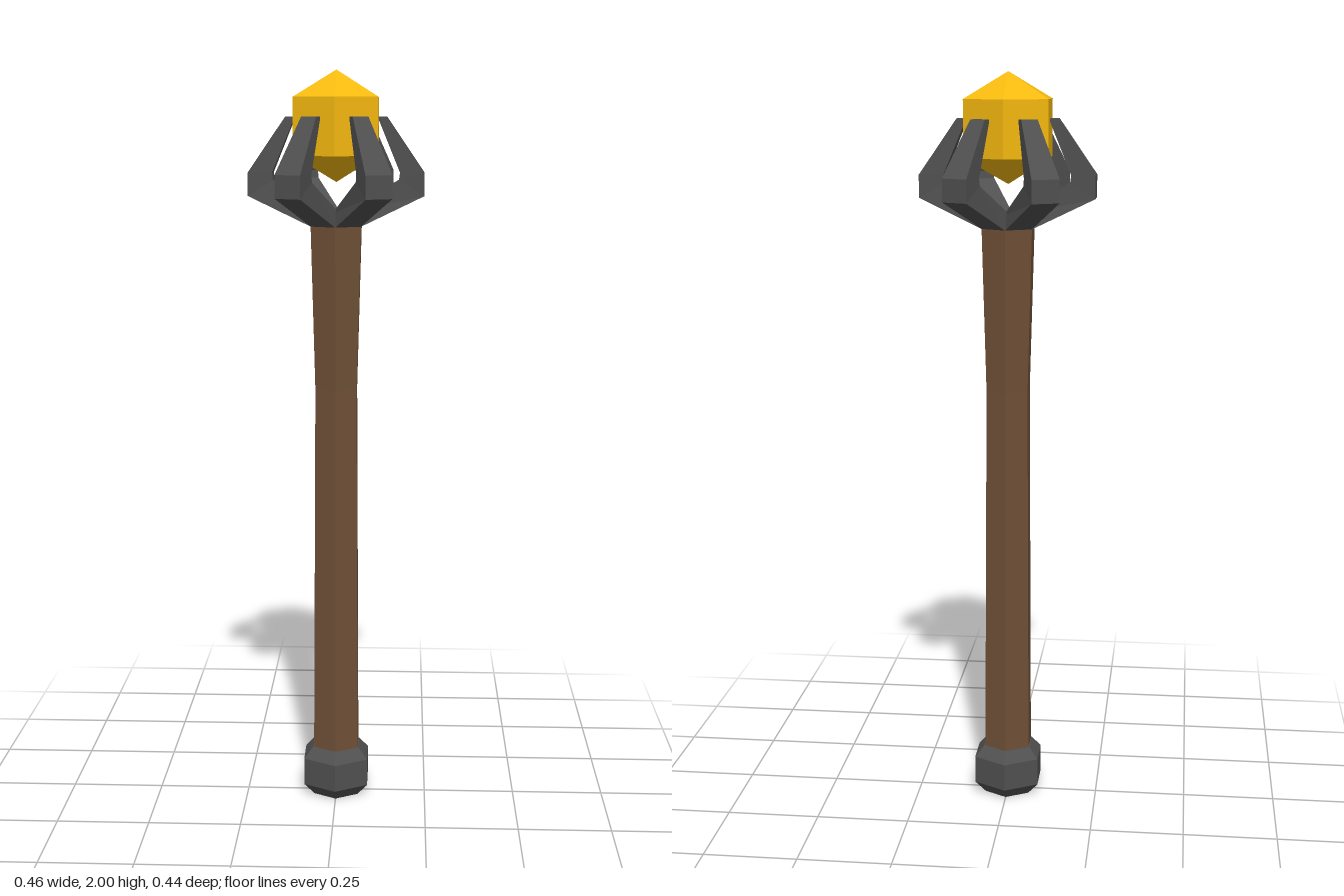
import * as THREE from 'three';

const mat = (color) => new THREE.MeshStandardMaterial({ color, flatShading: true });

// Six-sided solid of revolution from [radius, height] points, bottom to top
function hexLathe(name, points, material) {
  const geo = new THREE.LatheGeometry(points.map(([r, y]) => new THREE.Vector2(r, y)), 6);
  const mesh = new THREE.Mesh(geo, material);
  mesh.name = name;
  return mesh;
}

// Bent claw pointing along +x, lofted through four-cornered sections.
// Section: [outer r, outer y, outer half width, inner r, inner y, inner half width]
function clawGeometry() {
  const sections = [
    [0.066, 1.595, 0.038, 0.02, 1.63, 0.022],
    [0.232, 1.675, 0.039, 0.165, 1.715, 0.031],
    [0.232, 1.735, 0.039, 0.168, 1.735, 0.031],
    [0.133, 1.88, 0.023, 0.108, 1.88, 0.02],
  ];
  const pos = [];
  const index = [];
  for (const [ro, yo, wo, ri, yi, wi] of sections) {
    pos.push(ro, yo, wo, ro, yo, -wo, ri, yi, -wi, ri, yi, wi);
  }
  for (let s = 0; s < sections.length - 1; s++) {
    for (let k = 0; k < 4; k++) {
      const a = s * 4 + k, b = s * 4 + (k + 1) % 4;
      index.push(a, b, b + 4, a, b + 4, a + 4);
    }
  }
  // End caps
  const t = (sections.length - 1) * 4;
  index.push(0, 2, 1, 0, 3, 2, t, t + 1, t + 2, t, t + 2, t + 3);
  const geo = new THREE.BufferGeometry();
  geo.setAttribute('position', new THREE.Float32BufferAttribute(pos, 3));
  geo.setIndex(index);
  geo.computeVertexNormals();
  return geo;
}

export function createModel() {
  const model = new THREE.Group();
  model.name = 'mace';
  const wood = mat(0x6f5037);
  const iron = mat(0x505050);
  const gold = mat(0xf5b90f);

  // Wooden handle, slimmer towards the middle
  model.add(hexLathe('handle', [[0, 0.1], [0.071, 0.1], [0.064, 1.16], [0.077, 1.6], [0, 1.6]], wood));

  // Chamfered pommel
  model.add(hexLathe('pommel', [[0, 0], [0.07, 0], [0.102, 0.034], [0.102, 0.11], [0.074, 0.14], [0, 0.14]], iron));

  // Faceted gem
  model.add(hexLathe('gem', [[0, 1.71], [0.128, 1.78], [0.128, 1.93], [0, 2]], gold));

  // Ring of six claws holding the gem
  const claws = new THREE.Group();
  claws.name = 'claws';
  const geo = clawGeometry();
  for (let i = 0; i < 6; i++) {
    const claw = new THREE.Mesh(geo, iron);
    claw.name = 'claw';
    claw.rotation.y = (i * Math.PI) / 3;
    claws.add(claw);
  }
  model.add(claws);
  return model;
}
